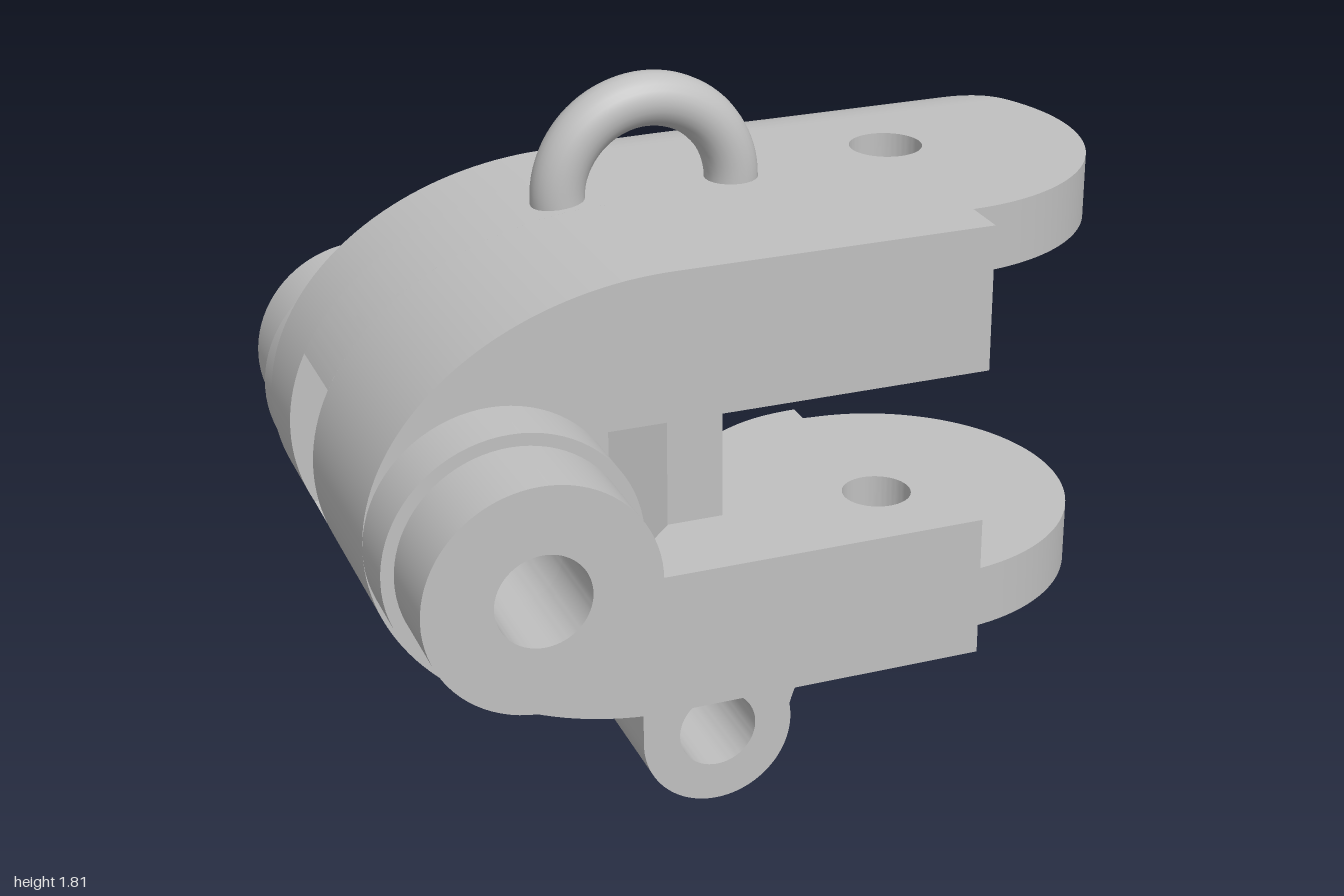
import * as THREE from 'three';
import { toCreasedNormals } from 'three/addons/utils/BufferGeometryUtils.js';

const MID = 0.975, BACK = -0.475, FRONT = 0.4;

export function createModel() {
  const model = new THREE.Group();
  const steel = new THREE.MeshStandardMaterial({ color: 0xc0c0c0 });
  steel.name = 'steel grey';

  const add = (name, geometry) => {
    const mesh = new THREE.Mesh(toCreasedNormals(geometry, 0.5), steel);
    mesh.name = name;
    model.add(mesh);
  };
  const circle = (x, y, r) => new THREE.Path().absarc(x, y, r, 0, Math.PI * 2, true);
  const extrude = (shape, depth) =>
    new THREE.ExtrudeGeometry(shape, { depth, bevelEnabled: false, curveSegments: 40 });
  // front profile (x, y) swept from z0 to z1
  const sweepZ = (name, shape, z0, z1) => add(name, extrude(shape, z1 - z0).translate(0, 0, z0));
  // plan outline (x, -z) raised from y0 to y1
  const raiseY = (name, shape, y0, y1) =>
    add(name, extrude(shape, y1 - y0).rotateX(-Math.PI / 2).translate(0, y0, 0));
  const plan = (points) => new THREE.Shape(points.map(([x, z]) => new THREE.Vector2(x, -z)));

  // rounded rear of the body, with the cross bore
  const noseX = -0.27, rx = 0.73, ry = 0.555;
  const nose = new THREE.Shape();
  nose.moveTo(noseX, MID + ry);
  nose.absellipse(noseX, MID, rx, ry, Math.PI / 2, Math.PI * 1.5, false);
  nose.lineTo(noseX, 0.78);
  nose.lineTo(-0.43, 0.78);
  nose.lineTo(-0.43, 1.17);
  nose.lineTo(noseX, 1.17);
  nose.holes.push(circle(-0.7, MID, 0.11));
  sweepZ('bodyNoseBack', nose, BACK, -0.28);
  sweepZ('bodyNoseFront', nose, -0.05, FRONT);

  // nose above and below the lengthwise slot
  const a = Math.asin(0.195 / ry);
  const upper = new THREE.Shape();
  upper.moveTo(noseX, MID + ry);
  upper.absellipse(noseX, MID, rx, ry, Math.PI / 2, Math.PI - a, false);
  upper.lineTo(noseX, 1.17);
  sweepZ('slotRoof', upper, -0.28, -0.05);
  const lower = new THREE.Shape();
  lower.moveTo(noseX, 0.78);
  lower.lineTo(noseX - rx * Math.cos(a), 0.78);
  lower.absellipse(noseX, MID, rx, ry, Math.PI + a, Math.PI * 1.5, false);
  sweepZ('slotFloor', lower, -0.28, -0.05);

  // web either side of the slot, with the slanted front recess
  raiseY('webBack', plan([[-0.43, BACK], [-0.06, BACK], [-0.06, -0.28], [-0.43, -0.28]]), 0.78, 1.17);
  raiseY('webFront', plan([[-0.43, -0.05], [-0.06, -0.05], [-0.06, 0.15], [-0.2, 0.15], [-0.43, 0.39]]), 0.78, 1.17);

  // jaw layers hollowed by a round pocket
  const jaw = plan([[noseX, BACK], [noseX, FRONT], [0.51, FRONT], [0.51, 0.32], [0.43, 0.32]]);
  jaw.absarc(0.43, 0.17, 0.49, -Math.PI / 2, -Math.PI, true);
  jaw.lineTo(-0.06, -BACK);
  raiseY('lowerJaw', jaw, 0.58, 0.78);
  raiseY('upperJaw', jaw, 1.17, 1.37);

  // outer plates ending in round eyes
  const eyeX = 0.51, eyeZ = -0.205, eyeR = 0.49, bendZ = -0.42;
  const plate = plan([[-0.125, bendZ], [-0.125, BACK], [noseX, BACK], [noseX, FRONT], [eyeX, FRONT]]);
  plate.lineTo(eyeX, -eyeZ - eyeR);
  plate.absarc(eyeX, -eyeZ, eyeR, -Math.PI / 2, Math.asin((eyeZ - bendZ) / eyeR), false);
  plate.holes.push(circle(eyeX, -eyeZ, 0.09));
  raiseY('lowerPlate', plate, 0.42, 0.58);
  raiseY('upperPlate', plate, 1.37, 1.53);

  // flared wing behind each plate, its outer face curving towards the inner one
  const flare = new THREE.CubicBezierCurve(
    new THREE.Vector2(-0.125, -0.54), new THREE.Vector2(0.2, -0.54),
    new THREE.Vector2(0.2, -0.76), new THREE.Vector2(0.51, -0.76));
  const rows = [];
  const eyeEdge = (z) => {
    const d = eyeR * eyeR - (z - eyeZ) ** 2;
    return d > 0 ? eyeX + Math.sqrt(d) : eyeX;
  };
  for (let i = 0; i < 12; i++) {
    const z = bendZ + (-0.54 - bendZ) * i / 12;
    rows.push([z, -0.125, eyeEdge(z)]);
  }
  for (let i = 0; i <= 48; i++) {
    const p = flare.getPoint(i / 48);
    rows.push([p.y, p.x, eyeEdge(p.y)]);
  }
  const R = 0.44;
  const wing = (side) => {
    const pos = [], idx = [];
    for (const [z, x0, x1] of rows) {
      const drop = R - Math.sqrt(R * R - (z - bendZ) ** 2);
      const inner = MID + side * 0.395;
      const outer = MID + side * Math.max(0.395, 0.555 - drop);
      pos.push(x0, inner, z, x0, outer, z, x1, outer, z, x1, inner, z);
    }
    const quad = (p, q, r, s) => (side > 0 ? idx.push(p, q, r, p, r, s) : idx.push(p, r, q, p, s, r));
    for (let i = 0; i < rows.length - 1; i++) {
      for (let k = 0; k < 4; k++) {
        const n = (k + 1) % 4;
        quad(i * 4 + k, i * 4 + n, i * 4 + 4 + n, i * 4 + 4 + k);
      }
    }
    const g = new THREE.BufferGeometry();
    g.setAttribute('position', new THREE.Float32BufferAttribute(pos, 3));
    g.setIndex(idx);
    return g;
  };
  add('upperWing', wing(1));
  add('lowerWing', wing(-1));

  // stepped hollow trunnions
  const ring = (r) => {
    const s = new THREE.Shape().absarc(-0.7, MID, r, 0, Math.PI * 2, false);
    s.holes.push(circle(-0.7, MID, 0.11));
    return s;
  };
  sweepZ('frontCollar', ring(0.3), FRONT, 0.55);
  sweepZ('frontTrunnion', ring(0.27), 0.55, 0.755);
  sweepZ('backCollar', ring(0.3), -0.55, BACK);
  sweepZ('backTrunnion', ring(0.27), -0.76, -0.55);

  // lower hanging lug
  const lug = new THREE.Shape();
  lug.moveTo(-0.275, 0.43);
  lug.lineTo(-0.275, 0.2);
  lug.absarc(-0.08, 0.197, 0.195, Math.PI, Math.PI * 2 + 0.18, false);
  lug.bezierCurveTo(0.14, 0.34, 0.22, 0.42, 0.37, 0.42);
  lug.lineTo(0.37, 0.43);
  lug.holes.push(circle(-0.08, 0.2, 0.1));
  sweepZ('hangingLug', lug, -0.21, 0.17);

  // lifting loop
  add('liftingLoop', new THREE.TorusGeometry(0.218, 0.065, 24, 48, Math.PI + 0.3)
    .rotateZ(-0.15).translate(-0.145, 1.53, -0.135));

  return model;
}
